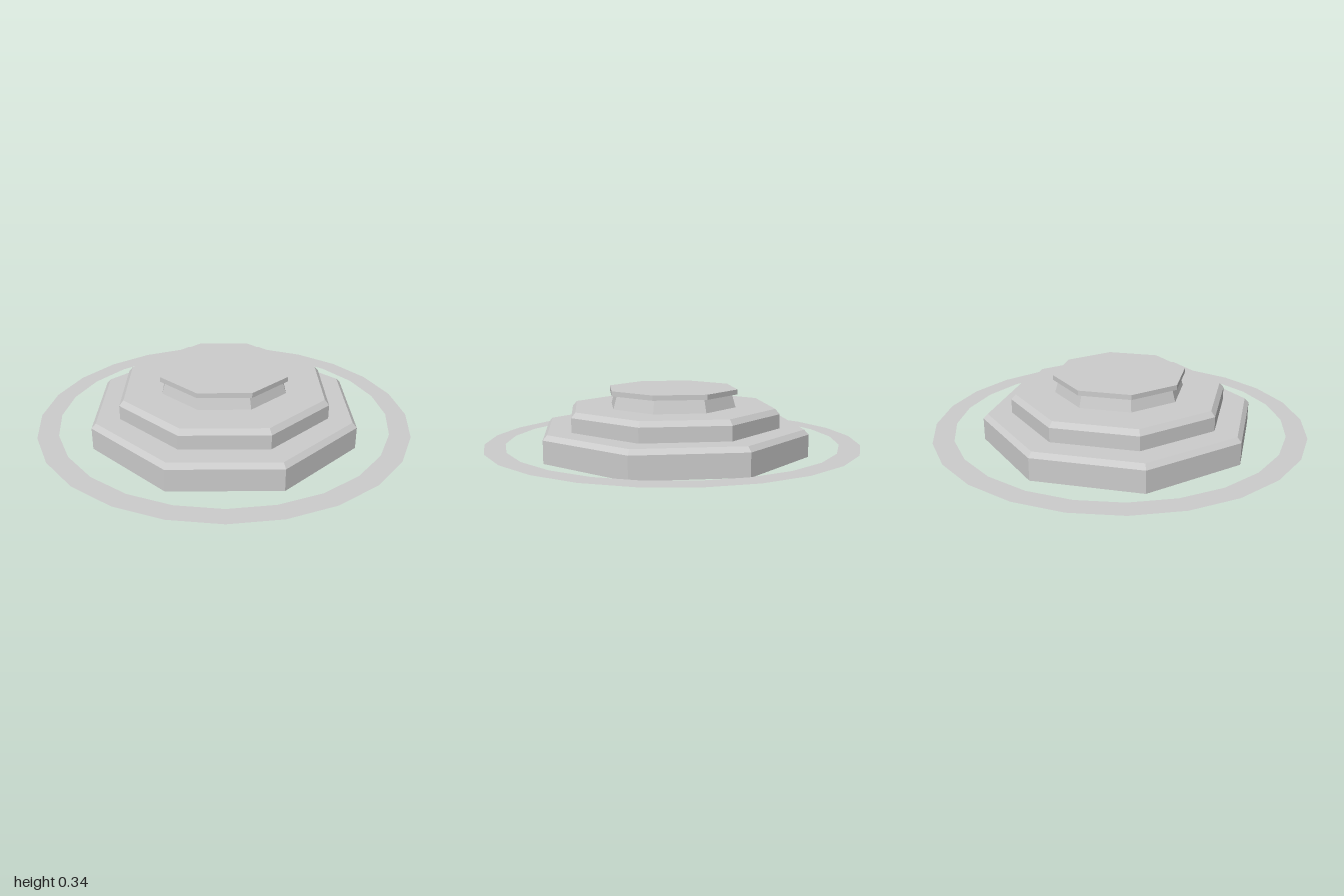
import * as THREE from 'three';

const SIDES = 8;
const RING_HEIGHT = 0.05;

// Open eight-sided shell from [flat-to-centre distance, height] pairs, flat sides facing the axes
function octagonShell(name, profile, material) {
  const toCorner = 1 / Math.cos(Math.PI / SIDES);
  const points = profile.map(([r, y]) => new THREE.Vector2(r * toCorner, y));
  const mesh = new THREE.Mesh(new THREE.LatheGeometry(points, SIDES, Math.PI / SIDES), material);
  mesh.name = name;
  return mesh;
}

export function createModel() {
  const group = new THREE.Group();
  group.name = 'steppedPlatform';
  const material = new THREE.MeshStandardMaterial({
    color: 0xcccccc, flatShading: true, side: THREE.DoubleSide,
  });

  // Two chamfered steps, hollow underneath
  group.add(octagonShell('lowerStep', [[0.677, 0], [0.677, 0.118], [0.655, 0.143], [0.537, 0.143]], material));
  group.add(octagonShell('upperStep', [[0.537, 0.143], [0.537, 0.218], [0.515, 0.245], [0.322, 0.245]], material));

  // Tapered neck and the overhanging cap
  group.add(octagonShell('neck', [[0.322, 0.245], [0.304, 0.312]], material));
  group.add(octagonShell('cap', [[0.304, 0.312], [0.33, 0.314], [0.33, 0.34], [0, 0.34]], material));

  // Flat ring floating around the platform
  const ring = new THREE.Mesh(new THREE.RingGeometry(0.89, 1, 24), material);
  ring.name = 'outerRing';
  ring.rotation.x = -Math.PI / 2;
  ring.position.y = RING_HEIGHT;
  group.add(ring);

  return group;
}
